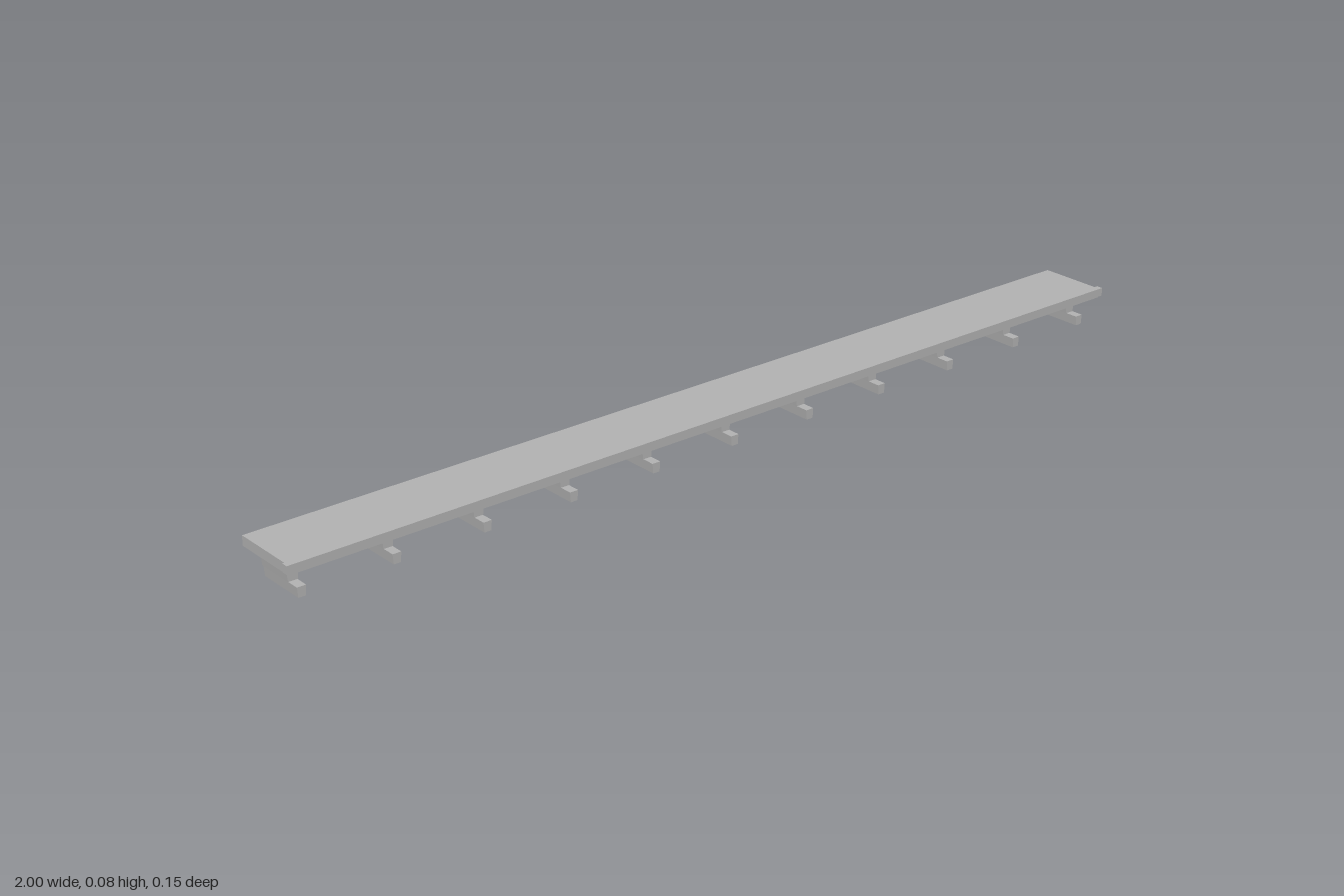
import * as THREE from 'three';

// Box from minimum to maximum corner, optionally narrowed in x at its foot
function block(name, material, x0, x1, y0, y1, z0, z1, footScale = 1) {
  const geometry = new THREE.BoxGeometry(x1 - x0, y1 - y0, z1 - z0);
  const p = geometry.attributes.position;
  for (let i = 0; i < p.count; i++) {
    if (p.getY(i) < 0) p.setX(i, p.getX(i) * footScale);
  }
  geometry.computeVertexNormals();
  const mesh = new THREE.Mesh(geometry, material);
  mesh.name = name;
  mesh.position.set((x0 + x1) / 2, (y0 + y1) / 2, (z0 + z1) / 2);
  return mesh;
}

export function createModel() {
  const model = new THREE.Group();
  model.name = 'bracketedLedge';
  const stone = new THREE.MeshStandardMaterial({ color: 0xb2b2b2 });
  stone.name = 'grey stone';

  // Long slab with a slightly wider lip along the front
  model.add(block('slab', stone, -0.996, 0.992, 0.06, 0.08, -0.074, 0.061));
  model.add(block('frontLipUnderside', stone, -0.996, 0.992, 0.06, 0.063, 0.061, 0.072));
  model.add(block('frontLip', stone, -1, 1, 0.063, 0.08, 0.061, 0.075));

  // Stepped corbels: [y0, y1, back z, front z, top half width, foot scale]
  const steps = [
    [0, 0.02, -0.057, 0.05, 0.009, 0.84],
    [0.02, 0.04, -0.06, 0.023, 0.0115, 0.84],
    [0.04, 0.06, -0.062, -0.009, 0.0145, 0.84],
  ];
  const count = 11;
  for (let i = 0; i < count; i++) {
    const bracket = new THREE.Group();
    bracket.name = 'bracket';
    bracket.position.x = -0.96 + (1.92 * i) / (count - 1);
    for (const [y0, y1, z0, z1, w, foot] of steps) {
      bracket.add(block('bracketStep', stone, -w, w, y0, y1, z0, z1, foot));
    }
    model.add(bracket);
  }
  return model;
}
